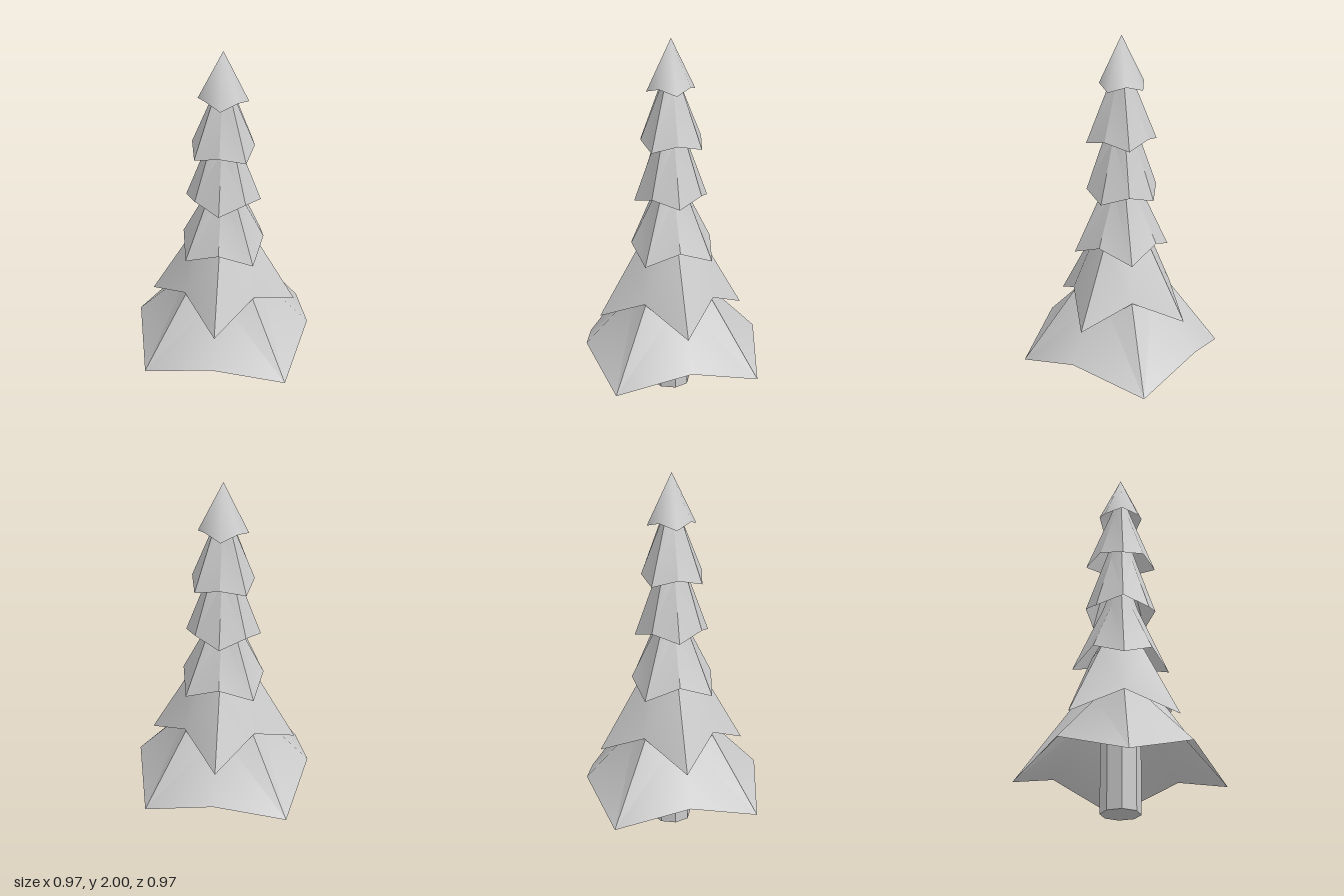
import * as THREE from 'three';
import { toCreasedNormals } from 'three/addons/utils/BufferGeometryUtils.js';

const material = new THREE.MeshStandardMaterial({ color: 0xcccccc, side: THREE.DoubleSide });

// A ring of eight points: [x of side points, their y, x (= z) of corner points, their y]
function ringPoint([sideX, sideY, cornerX, cornerY], i) {
  const a = (i * Math.PI) / 4;
  const corner = i % 2 === 1;
  const r = corner ? cornerX * Math.SQRT2 : sideX;
  return [Math.sin(a) * r, corner ? cornerY : sideY, Math.cos(a) * r];
}

// A hollow eight-sided skirt from the rim, through an optional upper ring, to a tip
function skirt({ rim, upper, tipY, crease }) {
  const tip = [0, tipY, 0];
  const positions = [];
  for (let i = 0; i < 8; i++) {
    const a = ringPoint(rim, i);
    const b = ringPoint(rim, i + 1);
    if (upper) {
      const c = ringPoint(upper, i);
      const d = ringPoint(upper, i + 1);
      // Diagonals run from the rim corners, mirrored on both sides
      if (i % 2) positions.push(...a, ...b, ...d, ...a, ...d, ...c);
      else positions.push(...a, ...b, ...c, ...b, ...d, ...c);
      positions.push(...c, ...d, ...tip);
    } else {
      positions.push(...a, ...b, ...tip);
    }
  }
  const geometry = new THREE.BufferGeometry();
  geometry.setAttribute('position', new THREE.Float32BufferAttribute(positions, 3));
  geometry.computeVertexNormals();
  return toCreasedNormals(geometry, crease);
}

export function createModel() {
  const tree = new THREE.Group();
  tree.name = 'firTree';

  // Trunk
  const trunkGeometry = new THREE.CylinderGeometry(0.108, 0.108, 0.6, 8);
  const trunk = new THREE.Mesh(toCreasedNormals(trunkGeometry, 0.3), material);
  trunk.name = 'trunk';
  trunk.position.y = 0.3;
  tree.add(trunk);

  // Branch tiers from bottom to top, drooping alternately at corners and sides;
  // each one reaches well up inside the next
  const tiers = [
    { rim: [0.485, 0.29, 0.395, 0.16], upper: [0.2, 0.58, 0.185, 0.575], tipY: 0.9, crease: 0.8 },
    { rim: [0.404, 0.45, 0.192, 0.585], upper: [0.17, 0.87, 0.11, 0.87], tipY: 1.15, crease: 0.65 },
    { rim: [0.222, 0.875, 0.185, 0.8], upper: [0.08, 1.16, 0.07, 1.16], tipY: 1.45, crease: 0.5 },
    { rim: [0.203, 1.12, 0.136, 1.165], upper: [0.08, 1.46, 0.064, 1.46], tipY: 1.74, crease: 0.5 },
    { rim: [0.166, 1.46, 0.136, 1.425], upper: [0.052, 1.75, 0.045, 1.75], tipY: 1.92, crease: 0.5 },
    { rim: [0.133, 1.722, 0.085, 1.752], upper: null, tipY: 2, crease: Math.PI },
  ];
  tiers.forEach((tier, i) => {
    const mesh = new THREE.Mesh(skirt(tier), material);
    mesh.name = i === tiers.length - 1 ? 'treeTop' : `branchTier${i + 1}`;
    tree.add(mesh);
  });

  return tree;
}
